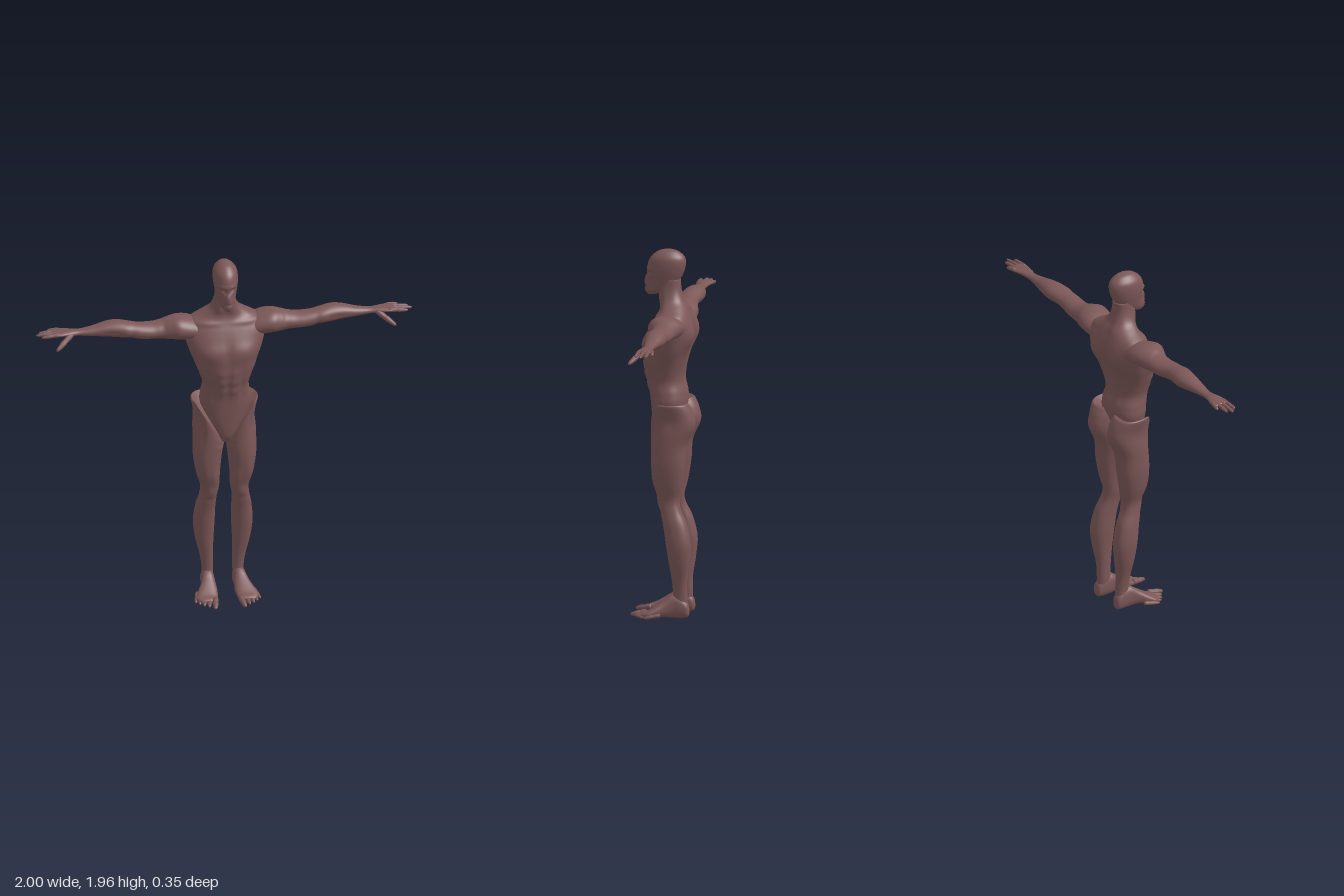
import * as THREE from 'three';

// Catmull-Rom blend through numeric rows
function sampleRows(rows, u) {
  const f = u * (rows.length - 1);
  const i = Math.min(Math.floor(f), rows.length - 2);
  const k = f - i;
  const at = (j) => rows[Math.max(0, Math.min(rows.length - 1, j))];
  return rows[0].map((_, c) => {
    const p0 = at(i - 1)[c], p1 = at(i)[c], p2 = at(i + 1)[c], p3 = at(i + 2)[c];
    const v0 = (p2 - p0) / 2, v1 = (p3 - p1) / 2;
    return (2 * p1 - 2 * p2 + v0 + v1) * k ** 3 + (3 * p2 - 3 * p1 - 2 * v0 - v1) * k * k + v0 * k + p1;
  });
}

// Closed smooth body from rows [t, aMin, aMax, bMin, bMax]; place(t, a, b) gives the point
function loft(rows, place, { seg = 40, steps = 6, power = 2, bumps = [] } = {}) {
  const pos = [], idx = [];
  const count = (rows.length - 1) * steps;
  const curve = (v) => Math.sign(v) * Math.abs(v) ** (2 / power);
  for (let i = 0; i <= count; i++) {
    const [t, a0, a1, b0, b1] = sampleRows(rows, i / count);
    for (let j = 0; j < seg; j++) {
      const w = (j / seg) * Math.PI * 2;
      const a = (a0 + a1) / 2 + ((a1 - a0) / 2) * curve(Math.cos(w));
      const b = (b0 + b1) / 2 + ((b1 - b0) / 2) * curve(Math.sin(w));
      pos.push(...place(t, a, b));
    }
  }
  for (let i = 0; i < count; i++) {
    for (let j = 0; j < seg; j++) {
      const a = i * seg + j, b = i * seg + ((j + 1) % seg);
      idx.push(a, b, a + seg, b, b + seg, a + seg);
    }
  }
  // end caps
  for (const end of [0, count]) {
    const mid = [0, 0, 0], centre = pos.length / 3;
    for (let j = 0; j < seg; j++) for (let c = 0; c < 3; c++) mid[c] += pos[(end * seg + j) * 3 + c] / seg;
    pos.push(...mid);
    for (let j = 0; j < seg; j++) {
      const a = end * seg + j, b = end * seg + ((j + 1) % seg);
      if (end === 0) idx.push(b, a, centre);
      else idx.push(a, b, centre);
    }
  }
  // turn the faces outward
  const P = (i) => new THREE.Vector3().fromArray(pos, i * 3);
  let volume = 0;
  for (let i = 0; i < idx.length; i += 3) volume += P(idx[i]).dot(P(idx[i + 1]).cross(P(idx[i + 2])));
  if (volume < 0) idx.reverse();

  const geo = new THREE.BufferGeometry();
  geo.setAttribute('position', new THREE.Float32BufferAttribute(pos, 3));
  geo.setIndex(idx);
  geo.computeVertexNormals();
  // muscles and grooves [x, y, z, rx, ry, height], the same on both sides of the body
  const p = geo.attributes.position, n = geo.attributes.normal;
  for (let i = 0; i < p.count; i++) {
    const x = p.getX(i), y = p.getY(i), z = p.getZ(i);
    let d = 0;
    for (const [bx, by, bz, rx, ry, h] of bumps) {
      d += h * Math.exp(-(((Math.abs(x) - bx) / rx) ** 2) - ((y - by) / ry) ** 2 - ((z - bz) / 0.06) ** 2);
    }
    p.setXYZ(i, x + n.getX(i) * d, y + n.getY(i) * d, z + n.getZ(i) * d);
  }
  geo.computeVertexNormals();
  return geo;
}

const clamp01 = (v) => Math.max(0, Math.min(1, v));

export function createModel() {
  const model = new THREE.Group();
  const skin = new THREE.MeshStandardMaterial({ color: 0x7c5757 });
  skin.name = 'brown skin';
  const add = (name, geo, parent = model) => {
    const mesh = new THREE.Mesh(geo, skin);
    mesh.name = name;
    parent.add(mesh);
  };
  const upright = (t, a, b) => [a, t, b];
  const even = (rows) => rows.map(([y, w, zb, zf]) => [y, -w, w, zb, zf]);

  // Torso and neck: y, half width, back, front
  add('torso', loft(even([
    [0.915, 0.02, -0.04, 0.03], [0.96, 0.05, -0.06, 0.055], [1.05, 0.10, -0.09, 0.066],
    [1.14, 0.132, -0.115, 0.073], [1.2, 0.13, -0.112, 0.08], [1.26, 0.122, -0.098, 0.094],
    [1.32, 0.138, -0.103, 0.107], [1.4, 0.165, -0.125, 0.112], [1.47, 0.193, -0.143, 0.106],
    [1.53, 0.212, -0.152, 0.085], [1.58, 0.215, -0.15, 0.06], [1.62, 0.185, -0.138, 0.035],
    [1.655, 0.125, -0.123, 0.022], [1.69, 0.078, -0.102, 0.026], [1.74, 0.056, -0.085, 0.032],
    [1.8, 0.05, -0.08, 0.03],
  ]), upright, {
    seg: 72, power: 2.3, bumps: [
      [0.085, 1.465, 0.09, 0.07, 0.05, 0.013], [0, 1.46, 0.11, 0.012, 0.08, -0.007],
      [0.03, 1.35, 0.11, 0.02, 0.02, 0.005], [0.03, 1.295, 0.1, 0.02, 0.02, 0.005],
      [0.03, 1.235, 0.09, 0.02, 0.022, 0.005], [0, 1.27, 0.1, 0.008, 0.1, -0.005],
      [0.075, 1.27, 0.08, 0.014, 0.09, -0.006], [0.13, 1.37, 0.04, 0.03, 0.025, 0.005],
      [0, 1.42, -0.14, 0.022, 0.2, -0.022], [0.085, 1.51, -0.14, 0.05, 0.065, 0.02],
      [0.035, 1.25, -0.1, 0.025, 0.1, 0.008], [0.17, 1.43, -0.05, 0.04, 0.07, 0.006],
      [0.12, 1.615, 0.03, 0.08, 0.012, 0.007], [0.035, 1.7, 0.03, 0.018, 0.05, 0.006],
    ],
  }));

  // Head with a smooth crown and a narrow, angular face
  add('head', loft(even([
    [1.715, 0.016, 0.05, 0.094], [1.735, 0.036, -0.01, 0.108], [1.77, 0.05, -0.06, 0.108],
    [1.81, 0.058, -0.085, 0.1], [1.85, 0.064, -0.102, 0.098], [1.89, 0.065, -0.108, 0.09],
    [1.92, 0.058, -0.1, 0.073], [1.945, 0.037, -0.072, 0.042], [1.955, 0.02, -0.045, 0.015],
    [1.959, 0.002, -0.017, -0.012],
  ]), upright, {
    seg: 64, bumps: [
      [0.026, 1.835, 0.09, 0.016, 0.009, -0.011], [0.012, 1.822, 0.1, 0.01, 0.008, -0.006],
      [0.03, 1.855, 0.09, 0.022, 0.008, 0.005], [0, 1.795, 0.11, 0.011, 0.025, 0.008],
      [0, 1.758, 0.11, 0.026, 0.005, -0.005], [0.04, 1.79, 0.07, 0.015, 0.03, -0.005],
    ],
  }));

  for (const [side, s] of [['left', 1], ['right', -1]]) {
    const limb = new THREE.Group();
    limb.name = side + 'Limbs';
    model.add(limb);

    // Tapered finger or toe running from one point to another
    const digit = (name, from, to, r) => {
      const A = new THREE.Vector3(...from), B = new THREE.Vector3(...to);
      const dir = B.clone().sub(A).normalize();
      const across = new THREE.Vector3(0, 1, 0).cross(dir).normalize();
      const up = dir.clone().cross(across);
      const rows = [[0, 0.9], [0.2, 1], [0.4, 0.86], [0.55, 0.95], [0.75, 0.78], [0.9, 0.62], [0.98, 0.3], [1, 0.02]]
        .map(([t, k]) => [t, -k * r, k * r, -k * r, k * r]);
      add(name, loft(rows, (t, a, b) => {
        const p = A.clone().lerp(B, t).addScaledVector(across, a).addScaledVector(up, b);
        return [s * p.x, p.y, p.z];
      }, { seg: 12, steps: 2 }), limb);
    };

    // Arm: x, bottom, top, back, front
    add(side + 'Arm', loft([
      [0.12, 1.51, 1.61, -0.12, 0.03], [0.19, 1.515, 1.637, -0.135, 0.045], [0.25, 1.52, 1.645, -0.13, 0.048],
      [0.3, 1.522, 1.636, -0.114, 0.03], [0.37, 1.53, 1.618, -0.1, 0.015], [0.45, 1.537, 1.622, -0.09, 0.018],
      [0.51, 1.547, 1.632, -0.097, 0.018], [0.57, 1.55, 1.64, -0.107, 0.008], [0.63, 1.557, 1.634, -0.1, -0.002],
      [0.7, 1.565, 1.617, -0.083, -0.012], [0.77, 1.572, 1.606, -0.074, -0.022], [0.82, 1.576, 1.608, -0.082, -0.014],
      [0.87, 1.58, 1.607, -0.097, -0.006], [0.9, 1.584, 1.603, -0.097, -0.01], [0.908, 1.59, 1.598, -0.08, -0.03],
    ], (t, a, b) => [s * t, a, b], {
      bumps: [
        [0.25, 1.63, 0.02, 0.04, 0.03, 0.005], [0.325, 1.6, 0.0, 0.016, 0.06, -0.006],
        [0.4, 1.57, 0.02, 0.05, 0.03, 0.006], [0.4, 1.56, -0.1, 0.05, 0.03, 0.006],
        [0.49, 1.58, 0.02, 0.02, 0.04, -0.005], [0.6, 1.59, 0.01, 0.06, 0.012, -0.005],
      ],
    }), limb);
    [[-0.085, 0.93, -0.096], [-0.066, 0.98, -0.07], [-0.043, 0.998, -0.045], [-0.02, 0.972, -0.015]]
      .forEach(([z, x, tipZ], i) => digit(`${side}Finger${i + 1}`, [0.87, 1.595, z], [x, 1.588, tipZ], 0.0115));
    digit(side + 'Thumb', [0.81, 1.588, -0.03], [0.9, 1.528, 0.036], 0.016);

    // Leg: y, inside, outside, back, front; the top rim slopes down to the groin in front
    add(side + 'Leg', loft([
      [0.06, 0.055, 0.112, -0.13, -0.05], [0.12, 0.052, 0.11, -0.13, -0.055], [0.2, 0.052, 0.121, -0.13, -0.05],
      [0.3, 0.05, 0.145, -0.144, -0.035], [0.4, 0.045, 0.157, -0.152, -0.02], [0.5, 0.044, 0.148, -0.132, -0.005],
      [0.58, 0.04, 0.132, -0.1, 0.015], [0.64, 0.03, 0.128, -0.09, 0.025], [0.72, 0.027, 0.15, -0.105, 0.045],
      [0.82, 0.017, 0.166, -0.12, 0.058], [0.93, 0.004, 0.167, -0.13, 0.06], [1.03, 0.002, 0.166, -0.172, 0.06],
      [1.1, 0.003, 0.17, -0.162, 0.06], [1.145, 0.012, 0.177, -0.14, 0.058], [1.155, 0.022, 0.172, -0.13, 0.05],
    ], (t, a, b) => {
      const k = THREE.MathUtils.smoothstep(t, 0.82, 1.155);
      const drop = 0.2 * k * clamp01((0.16 - a) / 0.13) * clamp01((b + 0.1) / 0.14);
      return [s * a, t - drop, b];
    }, {
      seg: 48, power: 2.2, bumps: [
        [0.08, 0.62, 0.02, 0.025, 0.03, 0.007], [0.055, 0.7, 0.03, 0.022, 0.05, 0.007],
        [0.12, 0.74, 0.04, 0.025, 0.07, 0.005], [0.085, 0.57, 0.02, 0.03, 0.012, -0.004],
        [0.1, 0.44, -0.15, 0.012, 0.07, -0.006], [0.09, 0.6, -0.1, 0.02, 0.05, -0.007],
        [0.155, 1.06, -0.05, 0.04, 0.05, -0.008], [0.13, 1.0, 0.06, 0.014, 0.1, -0.007],
      ],
    }), limb);

    // Foot: z, inside, outside, bottom, top
    add(side + 'Foot', loft([
      [-0.141, 0.075, 0.095, 0.025, 0.05], [-0.13, 0.058, 0.112, 0.008, 0.085], [-0.09, 0.05, 0.117, 0.004, 0.12],
      [-0.05, 0.05, 0.12, 0.004, 0.122], [-0.01, 0.048, 0.132, 0.008, 0.095], [0.03, 0.046, 0.152, 0.004, 0.068],
      [0.07, 0.052, 0.165, 0.004, 0.044], [0.1, 0.062, 0.148, 0.005, 0.033], [0.108, 0.08, 0.13, 0.012, 0.026],
    ], (t, a, b) => [s * a, b, t], { power: 2.4 }), limb);
    [[0.066, 0.08, 0.173, 0.016], [0.094, 0.108, 0.148, 0.012], [0.116, 0.132, 0.132, 0.012],
      [0.135, 0.153, 0.112, 0.011], [0.15, 0.171, 0.088, 0.011]]
      .forEach(([x, tipX, tipZ, r], i) => digit(`${side}Toe${i + 1}`, [x, 0.026, tipZ - 0.085], [tipX, 0.011, tipZ], r));
  }
  return model;
}
